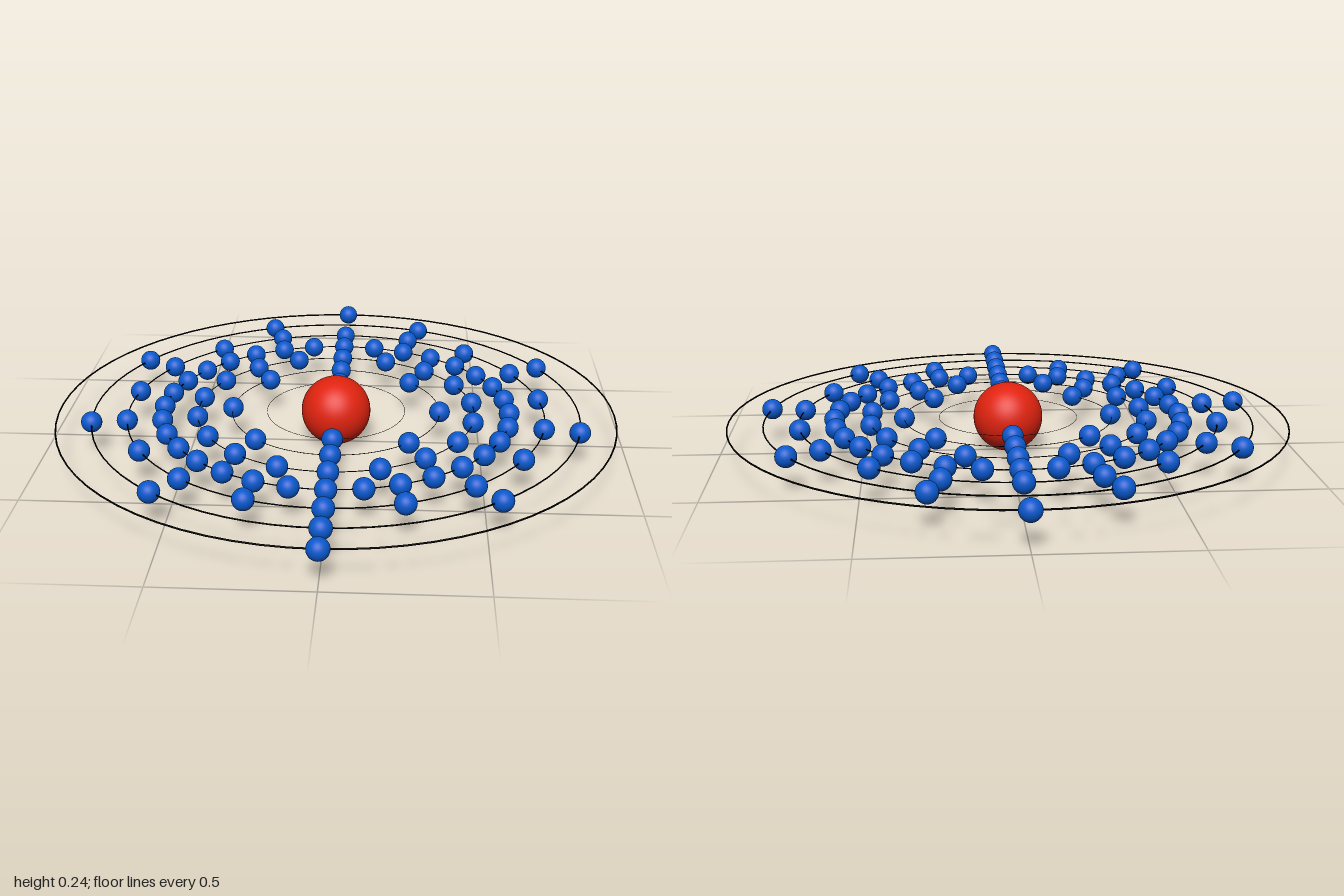
import * as THREE from 'three';

export function createModel() {
  const model = new THREE.Group();
  model.name = 'atom';
  const paint = (color) => new THREE.MeshStandardMaterial({ color });
  const red = paint(0xe0230f), blue = paint(0x0a58cc), black = paint(0x000000);
  const centreY = 0.12;

  const add = (parent, name, geometry, material, x = 0, z = 0) => {
    const mesh = new THREE.Mesh(geometry, material);
    mesh.name = name;
    mesh.position.set(x, centreY, z);
    parent.add(mesh);
    return mesh;
  };

  // Nucleus
  add(model, 'nucleus', new THREE.SphereGeometry(0.12, 48, 32), red);

  // Seven flat shells, each with evenly spaced electrons starting at the front
  const electronGeometry = new THREE.SphereGeometry(0.036, 24, 16);
  const electronCounts = [2, 8, 18, 32, 18, 9, 2];
  electronCounts.forEach((count, i) => {
    const shell = new THREE.Group();
    shell.name = `shell${i + 1}`;
    const radius = 0.24 + i * 0.1207;

    // Orbit wire, thicker towards the outside
    const orbit = new THREE.TorusGeometry(radius, 0.003 * radius, 6, 72).rotateX(Math.PI / 2);
    add(shell, 'orbit', orbit, black);

    for (let k = 0; k < count; k++) {
      const angle = (k / count) * Math.PI * 2;
      add(shell, 'electron', electronGeometry, blue, radius * Math.sin(angle), radius * Math.cos(angle));
    }
    model.add(shell);
  });

  return model;
}
